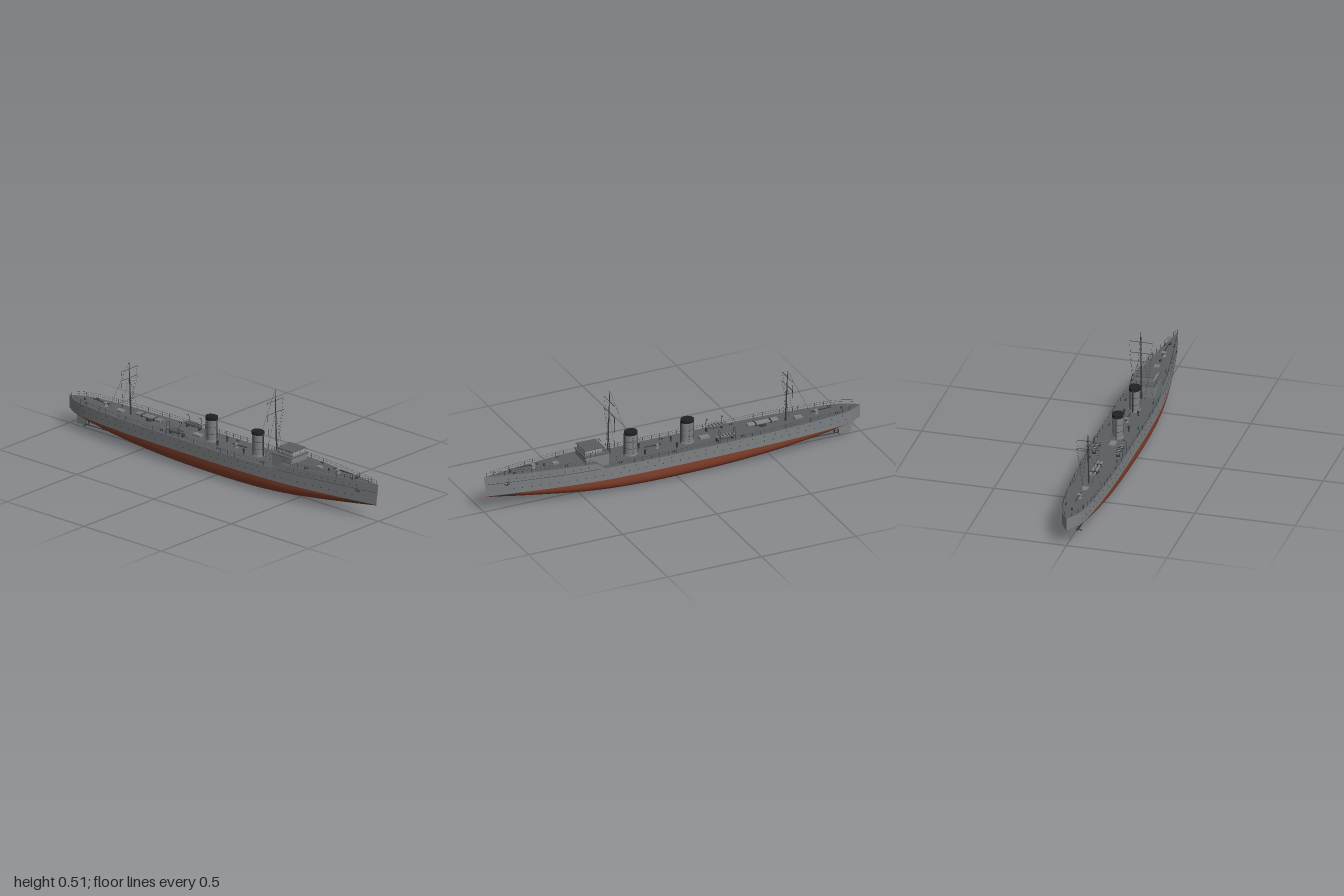
import * as THREE from 'three';
import { mergeGeometries } from 'three/addons/utils/BufferGeometryUtils.js';

const paint = (name, color, side = THREE.FrontSide) => {
  const m = new THREE.MeshStandardMaterial({ color, side });
  m.name = name;
  return m;
};
const V = (x, y, z) => new THREE.Vector3(x, y, z);

// Smooth interpolation through a table of [x, value]
function smooth(table) {
  const slope = (i) => {
    const a = table[Math.max(i - 1, 0)], b = table[Math.min(i + 1, table.length - 1)];
    return (b[1] - a[1]) / (b[0] - a[0]);
  };
  return (x) => {
    let i = 0;
    while (i < table.length - 2 && x > table[i + 1][0]) i++;
    const [x0, v0] = table[i], [x1, v1] = table[i + 1], h = x1 - x0;
    const t = THREE.MathUtils.clamp((x - x0) / h, 0, 1), s = 1 - t;
    return s * s * (1 + 2 * t) * v0 + t * t * (3 - 2 * t) * v1 + h * t * s * (s * slope(i) - t * slope(i + 1));
  };
}

// Hull lines
const WL = 0.079;
const beam = smooth([[-1, 0], [-0.95, 0.031], [-0.9, 0.05], [-0.8, 0.066], [-0.6, 0.082], [-0.4, 0.09], [0, 0.096],
  [0.2, 0.095], [0.4, 0.087], [0.6, 0.068], [0.8, 0.038], [0.9, 0.02], [1, 0]]);
const keel = smooth([[-1, 0.077], [-0.9, 0.069], [-0.8, 0.05], [-0.6, 0.026], [-0.45, 0.014], [-0.25, 0.004], [0, 0],
  [0.25, 0.002], [0.45, 0.012], [0.6, 0.026], [0.75, 0.043], [0.87, 0.058], [1, 0.077]]);
const deckY = (x) => x < 0.395 ? 0.143 : x < 0.435 ? 0.143 + (x - 0.395) * 0.8 : 0.175 + (x - 0.435) * 0.0195;
const flare = (x) => 1 - 0.15 * THREE.MathUtils.smoothstep(x, 0.4, 1);
const rake = (x, f) => x - 0.014 * (1 - f) * THREE.MathUtils.smoothstep(x, 0.8, 1);
// Point on the topsides at station x; f runs from waterline (0) to deck (1)
const topside = (x, f, side, out = 0) =>
  V(rake(x, f), WL + (deckY(x) - WL) * f, side * (beam(x) * (flare(x) + (1 - flare(x)) * f) + out));
const sideAtY = (x, y, side, out) => topside(x, (y - WL) / (deckY(x) - WL), side, out);

const stations = [0.395, 0.435];
for (let i = 0; i <= 90; i++) stations.push(-Math.cos((i / 90) * Math.PI));
stations.sort((a, b) => a - b);

// Skin stretched over cross-sections
function loft(xs, n, point) {
  const pos = [], idx = [];
  xs.forEach((x, i) => {
    for (let j = 0; j <= n; j++) {
      pos.push(...point(x, j / n).toArray());
      if (i && j) {
        const d = i * (n + 1) + j, c = d - 1, b = d - n - 1, a = b - 1;
        idx.push(a, b, c, b, d, c);
      }
    }
  });
  const g = new THREE.BufferGeometry();
  g.setAttribute('position', new THREE.Float32BufferAttribute(pos, 3));
  g.setIndex(idx);
  g.computeVertexNormals();
  return g;
}

function bottomPoint(x, t) {
  const u = t * 2 - 1, a = Math.abs(u) * Math.PI / 2;
  const n = (x < 0 ? 1.5 : 1.1) + (x < 0 ? 1.7 : 2.1) * (1 - Math.abs(x) ** 2.2);
  const z = Math.sin(a) ** (2 / n) * beam(x) * flare(x);
  const y = keel(x) + (WL - keel(x)) * (1 - Math.max(Math.cos(a), 0) ** (2 / n));
  return V(rake(x, 0), y, -Math.sign(u) * z);
}

// Primitive helpers
const box = (w, h, d, x, y, z) => new THREE.BoxGeometry(w, h, d).translate(x, y, z);
const post = (r0, r1, h, x, y, z, n = 16) => new THREE.CylinderGeometry(r1, r0, h, n).translate(x, y + h / 2, z);
function rod(a, b, r, r1 = r, n = 6) {
  const d = b.clone().sub(a), g = new THREE.CylinderGeometry(r1, r, d.length(), n);
  g.applyQuaternion(new THREE.Quaternion().setFromUnitVectors(V(0, 1, 0), d.clone().normalize()));
  return g.translate((a.x + b.x) / 2, (a.y + b.y) / 2, (a.z + b.z) / 2);
}

export function createModel() {
  const ship = new THREE.Group();
  ship.name = 'ship';
  const grey = paint('hull grey', 0x7d8082), deckGrey = paint('deck grey', 0x5a5e61);
  const red = paint('bottom red', 0x84402c), black = paint('funnel black', 0x202224);
  const dark = paint('fittings grey', 0x3a3d40), boatGrey = paint('boat grey', 0x75787a, THREE.DoubleSide);
  const glass = paint('window grey', 0x9a9fa2);
  const add = (name, mat, ...geos) => {
    const m = new THREE.Mesh(geos.length > 1 ? mergeGeometries(geos) : geos[0], mat);
    m.name = name;
    ship.add(m);
  };

  // Hull and deck
  add('hullBottom', red, loft(stations, 32, bottomPoint));
  add('hullSides', grey, loft(stations, 6, (x, t) => topside(x, 1 - t, 1)), loft(stations, 6, (x, t) => topside(x, t, -1)));
  add('deck', deckGrey, loft(stations, 4, (x, t) => topside(x, 1, 2 * t - 1)));
  const bowXs = stations.filter((x) => x > 0.8);
  const band = (x, t, s) => { const p = bottomPoint(x, 0.5 - s * (0.5 - 0.1 * t)); p.z += s * 0.0012; return p; };
  add('bowBand', dark, loft(bowXs, 3, (x, t) => band(x, t, 1)), loft(bowXs, 3, (x, t) => band(x, 1 - t, -1)));

  // Portholes, railings and rubbing strakes along both sides
  const holes = [], rails = [], strakes = [];
  for (const s of [1, -1]) {
    const line = (x0, x1, f, r, list) => {
      const pts = [];
      for (let i = 0; i <= 30; i++) pts.push(f(x0 + (x1 - x0) * i / 30));
      list.push(new THREE.TubeGeometry(new THREE.CatmullRomCurve3(pts), 60, r, 4));
    };
    for (const [y, x0, x1, step] of [[0.106, -0.9, 0.9, 0.045], [0.13, -0.88, 0.36, 0.062], [0.159, 0.48, 0.92, 0.04]]) {
      for (let x = x0; x < x1; x += step) {
        const p = sideAtY(x, y, s, 0), q = sideAtY(x + 0.01, y, s, 0);
        holes.push(new THREE.CylinderGeometry(0.0028, 0.0028, 0.002, 8).rotateX(Math.PI / 2)
          .rotateY(-Math.atan2(q.z - p.z, q.x - p.x)).translate(p.x, p.y, p.z));
      }
    }
    line(0.42, 0.99, (x) => sideAtY(x, 0.143, s, 0.0003), 0.0009, strakes);
    for (const [x0, x1] of [[-0.97, 0.38], [0.45, 0.97]]) {
      const at = (x, h) => { const p = topside(x, 1, s, -0.002); p.y += h; return p; };
      for (const h of [0.011, 0.021]) line(x0, x1, (x) => at(x, h), 0.0005, rails);
      for (let x = x0; x <= x1; x += 0.045) rails.push(rod(at(x, 0), at(x, 0.022), 0.0007, 0.0007, 4));
    }
  }
  add('portholes', dark, ...holes);
  add('railings', dark, ...rails);
  add('rubbingStrakes', dark, ...strakes);

  // Anchors at the bow
  const anchors = [];
  for (const s of [1, -1]) {
    const a = sideAtY(0.88, 0.15, s, 0.001), b = sideAtY(0.89, 0.128, s, 0.001);
    anchors.push(rod(a, b, 0.0022), rod(sideAtY(0.875, 0.135, s, 0.002), b, 0.002), rod(sideAtY(0.905, 0.135, s, 0.002), b, 0.002));
  }
  add('anchors', dark, ...anchors);

  // Bridge: lower house, upper wheelhouse, roof and windows
  add('bridgeHouse', grey, box(0.125, 0.062, 0.112, 0.425, 0.174, 0), box(0.092, 0.03, 0.09, 0.437, 0.22, 0));
  add('bridgeDecks', deckGrey, box(0.134, 0.004, 0.126, 0.424, 0.206, 0), box(0.1, 0.004, 0.098, 0.437, 0.236, 0));
  const panes = [];
  for (let i = -2; i <= 2; i++) {
    panes.push(box(0.002, 0.013, 0.012, 0.4835, 0.222, i * 0.017));
    for (const s of [1, -1]) panes.push(box(0.012, 0.013, 0.002, 0.437 + i * 0.017, 0.222, s * 0.0455));
  }
  add('bridgeWindows', glass, ...panes);
  const guard = [];
  for (const s of [1, -1]) {
    guard.push(rod(V(0.36, 0.226, s * 0.061), V(0.489, 0.226, s * 0.061), 0.0006), rod(V(0.36, 0.226, s * 0.061), V(0.36, 0.226, 0), 0.0006));
    for (let i = 0; i < 6; i++) guard.push(rod(V(0.36 + i * 0.0258, 0.207, s * 0.061), V(0.36 + i * 0.0258, 0.226, s * 0.061), 0.0006));
  }
  add('bridgeRails', dark, ...guard);

  // Two oval funnels with black caps, steam pipes and ladder rungs
  for (const x of [-0.08, 0.22]) {
    const oval = (g) => g.scale(1, 1, 0.85).translate(x, 0, 0);
    add('funnel', grey, oval(post(0.031, 0.031, 0.11, 0, 0.142, 0, 32)), oval(post(0.036, 0.034, 0.008, 0, 0.142, 0, 32)));
    add('funnelCap', black, oval(post(0.0325, 0.0325, 0.016, 0, 0.251, 0, 32)));
    const trim = [];
    for (const s of [1, -1]) {
      trim.push(rod(V(x + s * 0.034, 0.143, 0), V(x + s * 0.034, 0.262, 0), 0.003));
      for (let i = 0; i < 9; i++) trim.push(box(0.008, 0.0015, 0.002, x, 0.155 + i * 0.0105, s * 0.027));
    }
    for (const y of [0.18, 0.215]) trim.push(oval(post(0.0317, 0.0317, 0.0015, 0, y, 0, 32)));
    add('funnelTrim', dark, ...trim);
  }

  // Masts with yards, ladder rungs and rigging
  const masts = [[0.343, 0.143, 0.506, [0.39, 0.45], 0.2], [-0.603, 0.143, 0.405, [0.328, 0.373], -0.74]];
  for (const [x, y0, y1, yards, stayX] of masts) {
    const lean = (y) => x - 0.012 * (y - y0) / (y1 - y0), wires = [], spars = [];
    spars.push(rod(V(x, y0, 0), V(lean(y1), y1, 0), 0.0042, 0.0015, 10));
    for (const y of yards) spars.push(rod(V(lean(y), y, -0.058), V(lean(y), y, 0.058), 0.0013));
    for (let y = y0 + 0.02; y < y1 - 0.02; y += 0.012) spars.push(box(0.002, 0.001, 0.009, lean(y), y, 0));
    wires.push(rod(V(lean(y1), y1, 0), V(stayX, 0.143, 0), 0.0005, 0.0005, 4));
    for (const s of [1, -1]) {
      for (const y of yards) wires.push(rod(V(lean(y), y, s * 0.058), V(x - 0.03, y0, s * 0.022), 0.0004, 0.0004, 4));
      wires.push(rod(V(lean(yards[0]), yards[0], 0), V(x - 0.02, y0, s * 0.07), 0.0005, 0.0005, 4));
    }
    add('mast', dark, ...spars);
    add('rigging', dark, ...wires);
  }

  // Deck guns: pedestal, shield and barrel; dir is the way they point
  for (const [x, dir, size] of [[0.74, 1, 1], [-0.765, -1, 0.85], [0.08, 1, 0.75]]) {
    const y = deckY(x);
    add('gunMount', grey, post(0.013 * size, 0.008 * size, 0.012, x, y, 0), box(0.02 * size, 0.011, 0.024 * size, x, y + 0.015, 0));
    add('gunBarrel', dark, rod(V(x - dir * 0.028 * size, y + 0.017, 0), V(x + dir * 0.095 * size, y + 0.019, 0), 0.0034, 0.002, 10));
  }

  // Twin torpedo tubes on a turntable
  add('torpedoTubes', grey, ...[-0.009, 0.009].map((z) => rod(V(-0.56, 0.161, z), V(-0.4, 0.161, z), 0.0065, 0.0065, 16)));
  add('tubeMount', dark, post(0.02, 0.016, 0.013, -0.48, 0.143, 0), box(0.006, 0.015, 0.034, -0.52, 0.161, 0), box(0.006, 0.015, 0.034, -0.44, 0.161, 0));

  // Ship's boats with thwarts and davits
  for (const s of [1, -1]) {
    const z = s * 0.06;
    add('boat', boatGrey, new THREE.SphereGeometry(1, 20, 8, 0, Math.PI * 2, Math.PI / 2, Math.PI / 2).scale(0.057, 0.018, 0.016).translate(-0.26, 0.168, z));
    const parts = [-2, -1, 0, 1, 2].map((i) => box(0.005, 0.002, 0.031 - Math.abs(i) * 0.004, -0.26 + i * 0.017, 0.166, z));
    for (const x of [-0.3, -0.22]) {
      const arc = new THREE.CatmullRomCurve3([V(x, 0.143, z + s * 0.022), V(x, 0.185, z + s * 0.022), V(x, 0.2, z + s * 0.014), V(x, 0.199, z)]);
      parts.push(new THREE.TubeGeometry(arc, 10, 0.0013, 5), rod(V(x, 0.199, z), V(x, 0.167, z), 0.0005), box(0.006, 0.014, 0.018, x + 0.01, 0.15, z));
    }
    add('boatFittings', dark, ...parts);
  }

  // Hatches, capstans, bollards and vents
  add('hatches', grey, box(0.04, 0.008, 0.028, -0.67, 0.146, 0), box(0.05, 0.01, 0.03, -0.17, 0.147, 0), box(0.03, 0.008, 0.024, 0.62, 0.182, 0));
  const small = [post(0.006, 0.005, 0.012, 0.68, 0.179, 0), post(0.006, 0.005, 0.012, 0.86, 0.182, 0), post(0.005, 0.004, 0.01, -0.9, 0.143, 0)];
  for (const s of [1, -1]) {
    for (const x of [-0.86, -0.35, 0.02, 0.3, 0.58, 0.84]) small.push(...[0, 0.012].map((d) => post(0.0028, 0.0028, 0.008, x + d, deckY(x), s * beam(x) * 0.75, 8)));
    for (const x of [-0.01, 0.16]) small.push(post(0.004, 0.004, 0.02, x, 0.143, s * 0.035, 10), new THREE.SphereGeometry(0.0065, 10, 8).translate(x, 0.165, s * 0.035));
  }
  add('deckFittings', dark, ...small);

  // Bow flagstaff, rudder, shafts and propellers
  add('flagstaff', dark, rod(V(0.985, 0.185, 0), V(0.985, 0.205, 0), 0.0008));
  add('rudder', grey, box(0.066, 0.047, 0.005, -0.915, 0.036, 0), rod(V(-0.9, 0.05, 0), V(-0.9, 0.085, 0), 0.004));
  const gear = [];
  for (const s of [1, -1]) {
    const z = s * 0.026;
    gear.push(rod(V(-0.875, 0.032, z), V(-0.62, 0.036, z), 0.0025, 0.0025, 8), rod(V(-0.85, 0.032, z), V(-0.85, 0.067, z * 0.7), 0.002), rod(V(-0.85, 0.032, z), V(-0.85, 0.067, z * 1.3), 0.002));
    for (let i = 0; i < 3; i++) gear.push(new THREE.SphereGeometry(1, 8, 6).scale(0.002, 0.008, 0.005).rotateY(0.5).translate(0, 0.008, 0).rotateX(i * Math.PI * 2 / 3).translate(-0.872, 0.032, z));
  }
  add('propellerGear', dark, ...gear);
  return ship;
}
